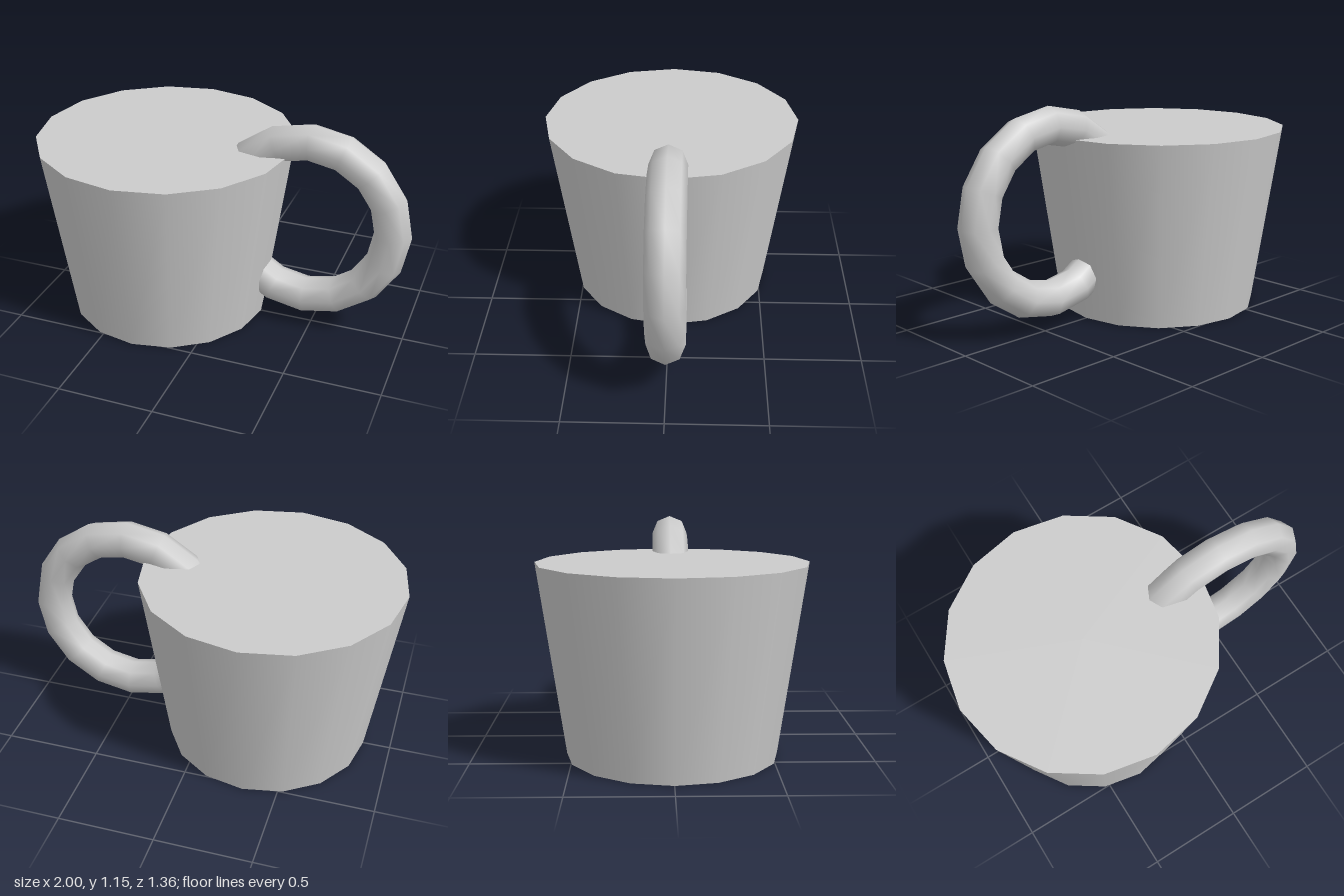
import * as THREE from 'three';

export function createModel() {
  const group = new THREE.Group();
  const material = new THREE.MeshStandardMaterial({ color: 0xcccccc });
  const height = 0.975;

  // Solid tapered cup body
  const body = new THREE.Mesh(new THREE.CylinderGeometry(0.68, 0.535, height, 16), material);
  body.name = 'cupBody';
  body.position.set(-0.32, height / 2, 0);

  // Ring handle, partly sunk into the body
  const handle = new THREE.Mesh(new THREE.TorusGeometry(0.443, 0.097, 8, 16), material);
  handle.name = 'handle';
  handle.position.set(0.46, 0.61, 0);

  group.add(body, handle);
  return group;
}
